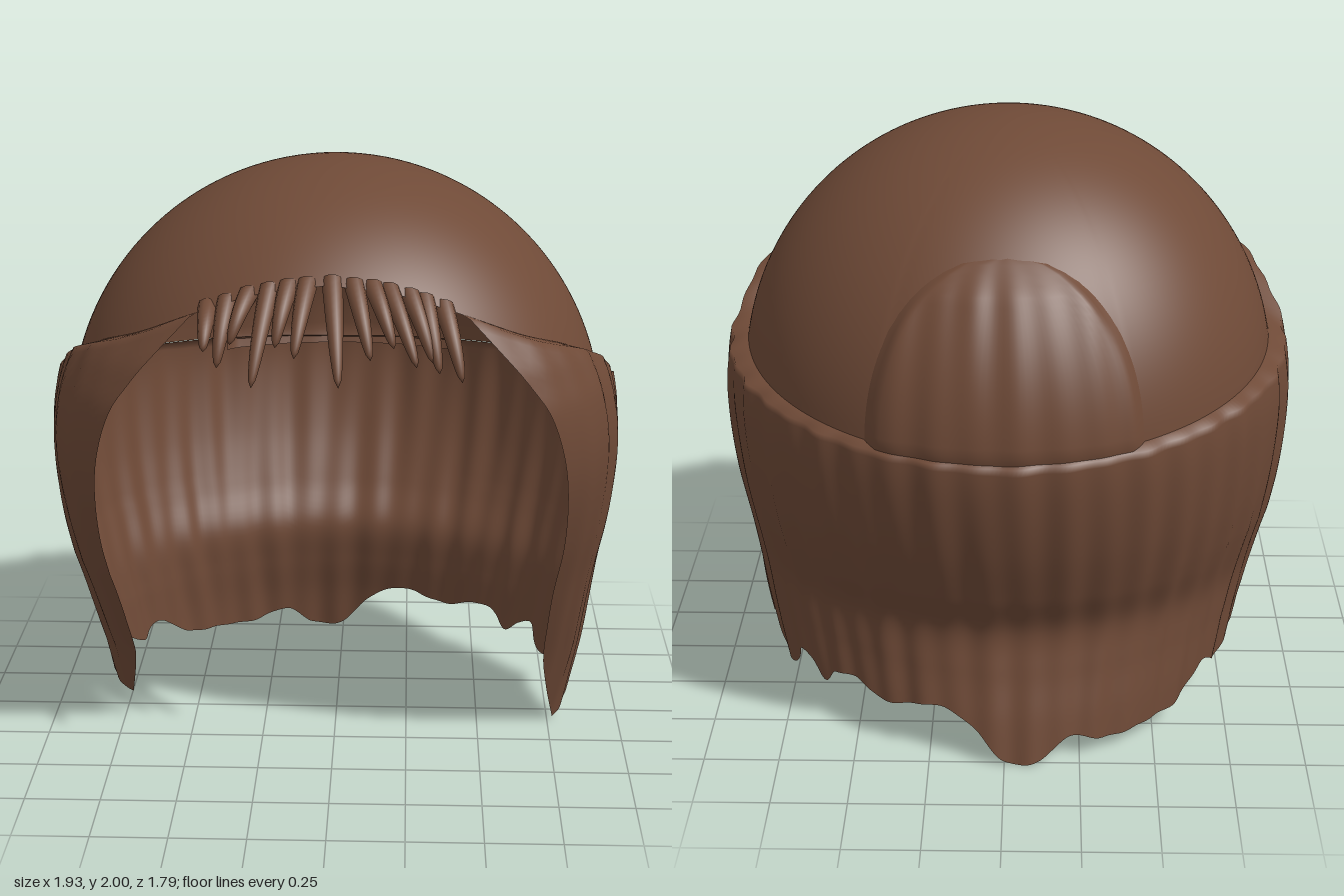
import * as THREE from 'three';
import { mergeVertices } from 'three/addons/utils/BufferGeometryUtils.js';

const RAD = Math.PI / 180;
const CAP_Y = 1.1, CAP_Z = 0.04, CAP_R = 0.9;
const { lerp, clamp } = THREE.MathUtils;

// Smooth interpolation in a table of [key, value, value...] rows
function look(table, key, col = 1) {
  if (key <= table[0][0]) return table[0][col];
  for (let i = 1; i < table.length; i++) {
    if (key <= table[i][0]) {
      const a = table[i - 1], b = table[i];
      const p = (table[i - 2] || a), n = (table[i + 1] || b);
      const h = b[0] - a[0], t = (key - a[0]) / h;
      const ma = (b[col] - p[col]) / (b[0] - p[0]) * h;
      const mb = (n[col] - a[col]) / (n[0] - a[0]) * h;
      const t2 = t * t, t3 = t2 * t;
      return (2 * t3 - 3 * t2 + 1) * a[col] + (t3 - 2 * t2 + t) * ma
        + (3 * t2 - 2 * t3) * b[col] + (t3 - t2) * mb;
    }
  }
  return table[table.length - 1][col];
}

// Curved sheet from a rule point(u, v), u and v running 0..1
function sheet(point, nu, nv) {
  const pos = [], index = [];
  for (let j = 0; j <= nv; j++)
    for (let i = 0; i <= nu; i++) pos.push(...point(i / nu, j / nv));
  for (let j = 0; j < nv; j++)
    for (let i = 0; i < nu; i++) {
      const a = j * (nu + 1) + i, b = a + 1, c = a + nu + 1, d = c + 1;
      index.push(a, c, b, b, c, d);
    }
  let g = new THREE.BufferGeometry();
  g.setAttribute('position', new THREE.Float32BufferAttribute(pos, 3));
  g.setIndex(index);
  g = mergeVertices(g, 1e-5);
  g.computeVertexNormals();
  return g;
}

// Skirt of hair by height: half width, back depth, front edge x, front edge z
const BODY = [
  [0.0, 0.80, 0.77, 0.77, 0.08], [0.15, 0.83, 0.74, 0.74, 0.16],
  [0.3, 0.86, 0.70, 0.72, 0.235], [0.45, 0.88, 0.68, 0.725, 0.31],
  [0.6, 0.90, 0.75, 0.735, 0.385], [0.8, 0.935, 0.83, 0.76, 0.475],
  [1.0, 0.955, 0.88, 0.76, 0.56], [1.15, 0.955, 0.89, 0.74, 0.608],
  [1.3, 0.928, 0.86, 0.69, 0.645], [1.4, 0.89, 0.81, 0.62, 0.662],
  [1.45, 0.86, 0.79, 0.58, 0.67], [1.62, 0.75, 0.70, 0.42, 0.65],
];
// Upper rim height by angle from the front, and hem height by angle going round
const RIM = [[0, 1.72], [18, 1.69], [34, 1.62], [50, 1.53], [63, 1.47], [70, 1.43], [78, 1.37],
  [87, 1.29], [95, 1.26], [115, 1.22], [150, 1.17], [180, 1.15]];
const HEM = [[74, 0.01], [79, 0.025], [85, 0.06], [92, 0.11], [103, 0.2], [108, 0.13],
  [114, 0.1], [121, 0.19], [125, 0.17], [129, 0.12], [133, 0.17], [141, 0.19], [150, 0.15],
  [165, 0.18], [173, 0.12], [180, 0.01], [189, 0.01], [196, 0.08], [206, 0.05],
  [219, 0.06], [229, 0.08], [238, 0.17], [246, 0.13], [254, 0.2], [262, 0.2],
  [272, 0.16], [280, 0.12], [286, 0.11]];

const edgeAngle = y => Math.asin(look(BODY, y, 3) / look(BODY, y, 1)) / RAD;
// Angle round the head: the slant of the front edge dies out toward the back
const sweep = (t, y) => lerp(74, 180, t) + (edgeAngle(y) - 74) * (1 - t) ** 3;

function capPoint(deg, y, out = 0) {
  const s = clamp((y - CAP_Y) / CAP_R, -1, 1);
  const r = CAP_R * Math.sqrt(1 - s * s) + out;
  return [r * Math.sin(deg * RAD), y, CAP_Z + r * Math.cos(deg * RAD)];
}

function ripple(deg, y) {
  const a = deg * RAD;
  return 0.005 * Math.sin(a * 43 + y * 2) + 0.004 * Math.sin(a * 27 - y * 3 + 1);
}

function skirtPoint(u, v) {
  const side = u < 0.5 ? 1 : -1;
  const t = 1 - Math.abs(2 * u - 1);
  let deg = lerp(34, 180, t), top = 1.5;
  for (let k = 0; k < 8; k++) {
    top = look(RIM, deg);
    deg = sweep(t, top);
  }
  // first row meets the cap and forms the ledge
  if (v === 0) return capPoint(side * deg, top, -0.005);
  const hemDeg = lerp(74, 180, t);
  const hem = look(HEM, side > 0 ? hemDeg : 360 - hemDeg);
  const y = lerp(top - 0.015, hem, (v - 1 / 48) * 48 / 47);
  const a = sweep(t, y) * RAD;
  const front = look(BODY, y, 4) / Math.cos(edgeAngle(y) * RAD);
  const depth = Math.cos(a) > 0 ? front : look(BODY, y, 2);
  // fuller at the front corners, flatter at the back; lower ends differ by side
  const low = clamp((0.65 - y) / 0.35, 0, 1);
  const back = -0.02 - (side > 0 ? 0.03 * low : 0);
  const corner = Math.sin(2 * a) ** 2 * (Math.cos(a) > 0 ? 0.045 : back);
  const k = 1 + Math.min(1, t * 10) * (ripple(side * a / RAD, y) + corner);
  const wide = look(BODY, y, 1) * (side < 0 ? 1 - 0.045 * low : 1);
  return [side * wide * Math.sin(a) * k, y, depth * Math.cos(a) * k];
}

// Raised arched patch at the back of the cap
function patchPoint(u, v) {
  const y = lerp(1.12, 1.73, v), s = 2 * u - 1;
  const half = 0.44 * Math.sqrt(Math.max(0, 1 - Math.pow(v, 2.4)));
  const r = CAP_R * Math.sqrt(1 - ((y - CAP_Y) / CAP_R) ** 2);
  const deg = 180 + s * Math.asin(half / r) / RAD;
  const rise = Math.min(1, (1 - Math.abs(s)) * 8) * Math.min(1, (1 - v) * 6)
    * Math.min(1, 0.5 + v * 6);
  return capPoint(deg, y, -0.003 + rise * (0.03 + 0.6 * ripple(deg, y)));
}

// Lower limit of the crown: the rim, arched up under the back patch
function crownLimit(deg) {
  const away = Math.min(deg, 360 - deg);
  const x = 0.86 * Math.sin(away * RAD) / 0.38;
  if (away < 90 || x >= 1) return look(RIM, away);
  return Math.max(look(RIM, away), 1.12 + 0.54 * Math.pow(1 - x * x, 0.42));
}

// Tapered strand, oval in section, following a curve
function strand(root, mid, tip, wide, deep) {
  const curve = new THREE.QuadraticBezierCurve3(root, mid, tip);
  const across = new THREE.Vector3(1, 0, 0);
  return sheet((u, v) => {
    const p = curve.getPoint(v);
    const n = curve.getTangent(v).cross(across).normalize();
    const taper = v === 1 ? 0 : Math.pow(1 - v, 0.42);
    const a = -u * Math.PI * 2;
    p.addScaledVector(across, Math.cos(a) * wide * taper);
    p.addScaledVector(n, Math.sin(a) * deep * taper);
    return [p.x, p.y, p.z];
  }, 10, 14);
}

export function createModel() {
  const model = new THREE.Group();
  model.name = 'hair';
  const brown = new THREE.MeshStandardMaterial({ color: 0x6f4a37, side: THREE.DoubleSide });
  brown.name = 'brown hair';
  const add = (name, geometry, parent = model) => {
    const mesh = new THREE.Mesh(geometry, brown);
    mesh.name = name;
    parent.add(mesh);
  };

  // Smooth crown, cut along the rim and the front hairline
  add('crown', sheet((u, v) => {
    const deg = u * 360;
    const polar = v * Math.acos((crownLimit(deg) - CAP_Y) / CAP_R);
    return capPoint(deg % 360, CAP_Y + CAP_R * Math.cos(polar));
  }, 240, 40));

  // Long sides and back with a wavy hem
  add('sidesAndBack', sheet(skirtPoint, 260, 48));
  add('backPatch', sheet(patchPoint, 50, 24));

  // Fringe: root x, tip x, tip y, tip z
  const fringe = new THREE.Group();
  fringe.name = 'fringe';
  model.add(fringe);
  const tips = [
    [-0.36, -0.38, 1.53, 0.78], [-0.31, -0.34, 1.48, 0.78], [-0.25, -0.3, 1.55, 0.77],
    [-0.19, -0.23, 1.44, 0.86], [-0.13, -0.16, 1.55, 0.8], [-0.07, -0.1, 1.53, 0.85],
    [0.01, 0.035, 1.45, 0.89], [0.08, 0.13, 1.52, 0.83], [0.14, 0.2, 1.55, 0.8],
    [0.19, 0.27, 1.5, 0.83], [0.25, 0.32, 1.5, 0.78], [0.29, 0.34, 1.47, 0.79],
    [0.34, 0.41, 1.44, 0.78],
  ];
  for (const [rx, tx, ty, tz] of tips) {
    const deg = Math.asin(rx / 0.67) / RAD;
    const root = new THREE.Vector3(...capPoint(deg, look(RIM, Math.abs(deg)) + 0.01, -0.025));
    const tip = new THREE.Vector3(tx, ty, tz);
    const mid = root.clone().lerp(tip, 0.55).add(new THREE.Vector3(0, 0.03, 0.035));
    add('fringeStrand', strand(root, mid, tip, 0.033, 0.028), fringe);
  }
  return model;
}
